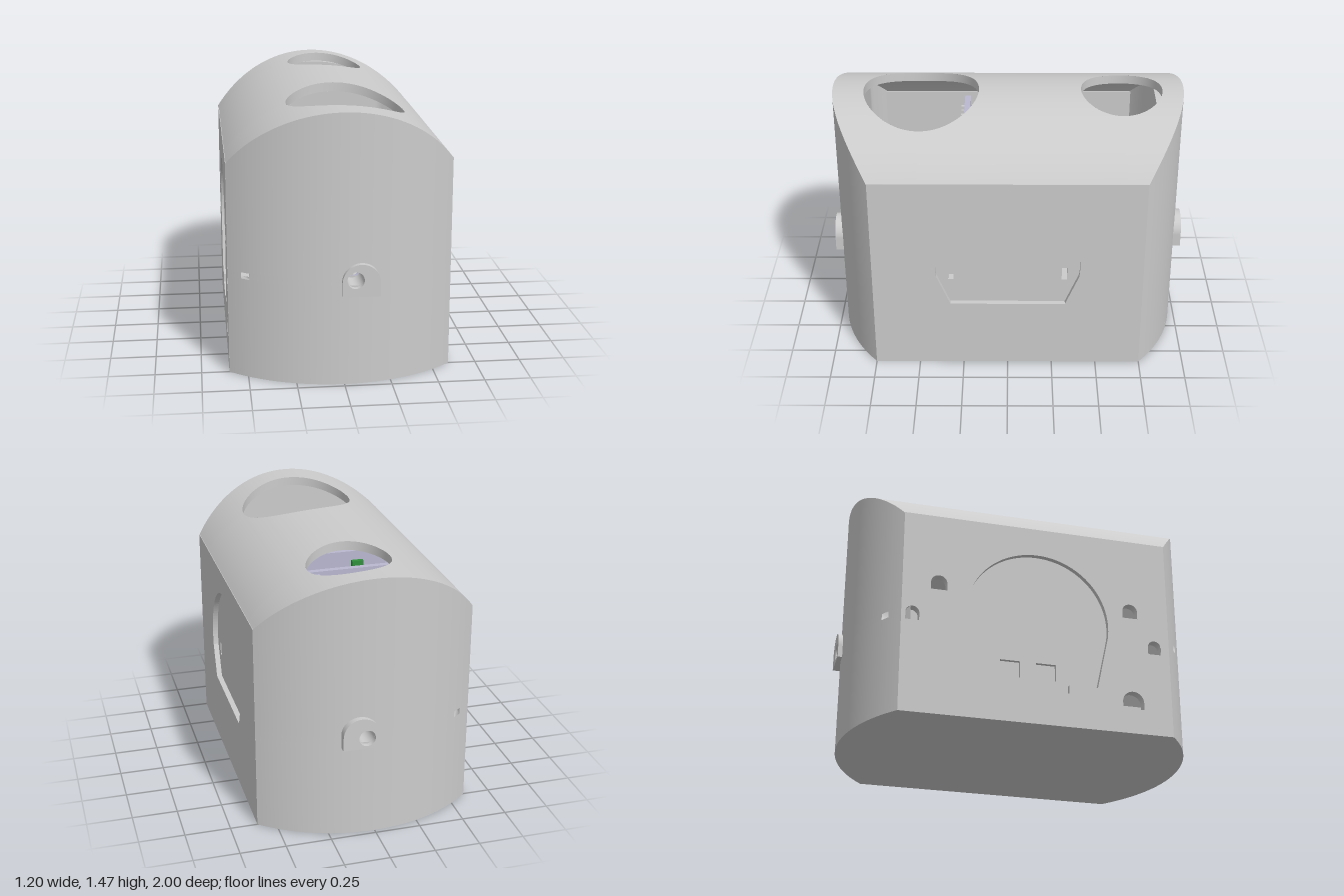
import * as THREE from 'three';

const grey = new THREE.MeshStandardMaterial({ color: 0xcccccc });
const skinGrey = new THREE.MeshStandardMaterial({ color: 0xcccccc, side: THREE.DoubleSide });
const lavender = new THREE.MeshStandardMaterial({ color: 0xb9b8d0 });
const green = new THREE.MeshStandardMaterial({ color: 0x2f8f3a });

const T = 0.05; // wall thickness
// Arched roof height and bowed end-wall depth across the width
const roofY = x => 0.722 + Math.sqrt(0.743 ** 2 - x * x);
const endZ = x => 0.063 + Math.sqrt(0.912 ** 2 - x * x);
const innerZ = x => Math.min(endZ(x) - T, 0.82);

// Openings as round holes or round-topped slots
const roofHoles = [{ x: 0.055, y: -0.63, r: 0.225 }, { x: 0.055, y: 0.48, r: 0.32 }];
const endHoles = [{ x: -0.509, y: 0.599, r: 0.0215, foot: 0.55 }, { x: 0.055, y: 0.585, r: 0.045 }];

function cut(h, x) {
  const d = Math.abs(x - h.x);
  if (d > h.r + 1e-7) return [h.foot ?? h.y, h.foot ?? h.y];
  const s = Math.sqrt(Math.max(0, h.r * h.r - d * d));
  return [h.foot ?? h.y - s, h.y + s];
}

function samples(holes) {
  const xs = [];
  for (let i = 0; i <= 64; i++) xs.push(-0.6 + 1.2 * i / 64);
  for (const h of holes) {
    for (let i = 0; i <= 24; i++) xs.push(h.x - h.r * Math.cos(Math.PI * i / 24));
    xs.push(h.x - h.r - 1e-5, h.x + h.r + 1e-5);
  }
  return xs.sort((a, b) => a - b);
}

// Surface swept across x, each row split into spans by the openings
function skin(holes, low, high, place, flip) {
  const pos = [], idx = [], xs = samples(holes), n = 2 * (holes.length + 1);
  xs.forEach((x, i) => {
    [low(x), ...holes.flatMap(h => cut(h, x)), high(x)].forEach(t => pos.push(...place(x, t)));
    if (!i) return;
    for (let k = 0; k < n; k += 2) {
      const a = (i - 1) * n + k, b = i * n + k;
      if (flip) idx.push(a, b, b + 1, a, b + 1, a + 1);
      else idx.push(a, b + 1, b, a, a + 1, b + 1);
    }
  });
  return buffer(pos, idx);
}

function buffer(pos, idx) {
  const g = new THREE.BufferGeometry();
  g.setAttribute('position', new THREE.Float32BufferAttribute(pos, 3));
  g.setIndex(idx);
  g.computeVertexNormals();
  return g;
}

// Edge band joining the outer and inner skins around an opening
function rim(h, outer, inner) {
  const pos = [], idx = [], pts = [];
  const end = h.foot === undefined ? 2 * Math.PI : Math.PI;
  for (let i = 0; i <= 64; i++) pts.push([h.x + h.r * Math.cos(end * i / 64), h.y + h.r * Math.sin(end * i / 64)]);
  if (h.foot !== undefined) pts.push([h.x - h.r, h.foot], [h.x + h.r, h.foot], pts[0]);
  pts.forEach(([x, t], i) => {
    pos.push(...outer(x, t), ...inner(x, t));
    if (i) idx.push(2 * i - 2, 2 * i - 1, 2 * i, 2 * i, 2 * i - 1, 2 * i + 1);
  });
  return buffer(pos, idx);
}

// Flat outlines
function poly(pts) { return new THREE.Shape(pts.map(p => new THREE.Vector2(...p))); }
function rect(x, y, w, h) {
  return poly([[x - w / 2, y], [x + w / 2, y], [x + w / 2, y + h], [x - w / 2, y + h]]);
}
function arch(x, y, w, h) {
  const s = new THREE.Shape();
  s.moveTo(x - w / 2, y).lineTo(x + w / 2, y);
  s.absarc(x, y + h - w / 2, w / 2, 0, Math.PI, false);
  return s.closePath();
}
function hatch(cy, foot, half, notch) {
  const s = new THREE.Shape();
  s.moveTo(-half, foot);
  if (notch) s.lineTo(-0.17, foot).lineTo(-0.17, foot - 0.05).lineTo(0.17, foot - 0.05).lineTo(0.17, foot);
  s.lineTo(half, foot);
  s.absarc(0, cy, 0.4, -0.15, Math.PI + 0.15, false);
  return s.closePath();
}
function extrude(shape, holes, depth) {
  shape.holes.push(...holes);
  return new THREE.ExtrudeGeometry(shape, { depth, bevelEnabled: false, curveSegments: 32 });
}

export function createModel() {
  const root = new THREE.Group();
  const add = (name, geo, mat = grey, x = 0, y = 0, z = 0) => {
    const m = new THREE.Mesh(geo, mat);
    m.name = name;
    m.position.set(x, y, z);
    root.add(m);
    return m;
  };

  // Roof with two round openings
  const top = (x, z) => [x, roofY(x), z], under = (x, z) => [x, roofY(x) - T, z];
  add('roof', skin(roofHoles, x => -endZ(x), endZ, top, false), skinGrey);
  add('roofLining', skin(roofHoles, x => -innerZ(x), innerZ, under, true), skinGrey);
  roofHoles.forEach(h => add('roofOpeningRim', rim(h, top, under), skinGrey));

  // Bowed end walls with mounting bosses
  for (const s of [1, -1]) {
    const name = s > 0 ? 'front' : 'back';
    const out = (x, y) => [x, y, s * endZ(x)], inn = (x, y) => [x, y, s * innerZ(x)];
    add(name + 'Wall', skin(endHoles, () => 0, roofY, out, s > 0), skinGrey);
    add(name + 'Lining', skin(endHoles, () => 0, x => roofY(x) - T, inn, s < 0), skinGrey);
    endHoles.forEach(h => add(name + 'HoleRim', rim(h, out, inn), skinGrey));
    const bore = new THREE.Path().absarc(0.055, 0.585, 0.045, 0, 2 * Math.PI, true);
    const boss = extrude(arch(0.085, s > 0 ? 0.495 : 0.525, 0.2, 0.175), [bore], 0.08);
    add(name + 'Boss', boss, grey, 0, 0, s > 0 ? 0.92 : -1);
    add(name + 'Bushing', new THREE.TorusGeometry(0.052, 0.012, 10, 32), lavender, 0.055, 0.585, s * 0.8);
  }

  // Side walls in two layers, so that the hatch is a shallow recess
  const ports = () => [[0.53, 0.68, 0.085, 0.085], [0.665, 0.475, 0.075, 0.08], [0.53, 0.14, 0.12, 0.1],
    [-0.55, 0.715, 0.09, 0.085], [-0.69, 0.52, 0.075, 0.08]].map(p => arch(...p));
  const slots = () => [rect(-0.315, 0.545, 0.03, 0.075), rect(0.315, 0.545, 0.03, 0.075)];
  const windows = () => [rect(-0.15, 0.265, 0.11, 0.095), rect(0.05, 0.265, 0.11, 0.095)];
  const side = () => rect(0, 0, 1.5, 1.164);
  const sides = [
    ['left', 1, [hatch(0.64, 0.4, 0.32, false)], slots()],
    ['right', -1, [hatch(0.6, 0.24, 0.33, true), ...ports()], [...windows(), ...ports()]],
  ];
  for (const [name, s, outerHoles, innerHoles] of sides) {
    add(name + 'Wall', extrude(side(), outerHoles, 0.03), grey, s * 0.57).rotation.y = s * Math.PI / 2;
    add(name + 'HatchPanel', extrude(side(), innerHoles, 0.02), grey, s * 0.55).rotation.y = s * Math.PI / 2;
  }

  // Floor plate following the bowed plan
  const plan = [];
  for (const s of [1, -1]) for (let i = 0; i <= 40; i++) {
    const x = s * (0.6 - 1.2 * i / 40);
    plan.push([x, s * endZ(x)]);
  }
  add('floor', extrude(poly(plan), [], 0.04).rotateX(-Math.PI / 2));

  // Upright boards with rows of pins and small components
  for (const z of [0.242, -0.03, -0.2]) {
    add('board', new THREE.BoxGeometry(1, 0.3, 0.035), lavender, 0, 1.01, z);
    for (let i = 0; i < 16; i++)
      add('boardPin', new THREE.BoxGeometry(0.02, 0.04, 0.02), grey, -0.42 + i * 0.056, 1.11, z + 0.027);
    add('component', new THREE.BoxGeometry(0.09, 0.09, 0.05), lavender, 0.1, 1.1, z - 0.042);
    add('terminal', new THREE.BoxGeometry(0.07, 0.05, 0.03), green, -0.25, 1.08, z - 0.03);
  }

  // Low tray with two support legs inside
  add('tray', new THREE.BoxGeometry(0.56, 0.26, 0.33), grey, 0.02, 0.17, 0.615);
  for (const x of [-0.07, 0.185])
    add('trayLeg', new THREE.BoxGeometry(0.07, 0.26, 0.19), grey, x, 0.17, 0.355);
  for (const x of [-0.07, 0.185])
    add('rearBlock', new THREE.BoxGeometry(0.06, 0.2, 0.1), grey, x, 0.14, -0.42);
  return root;
}
